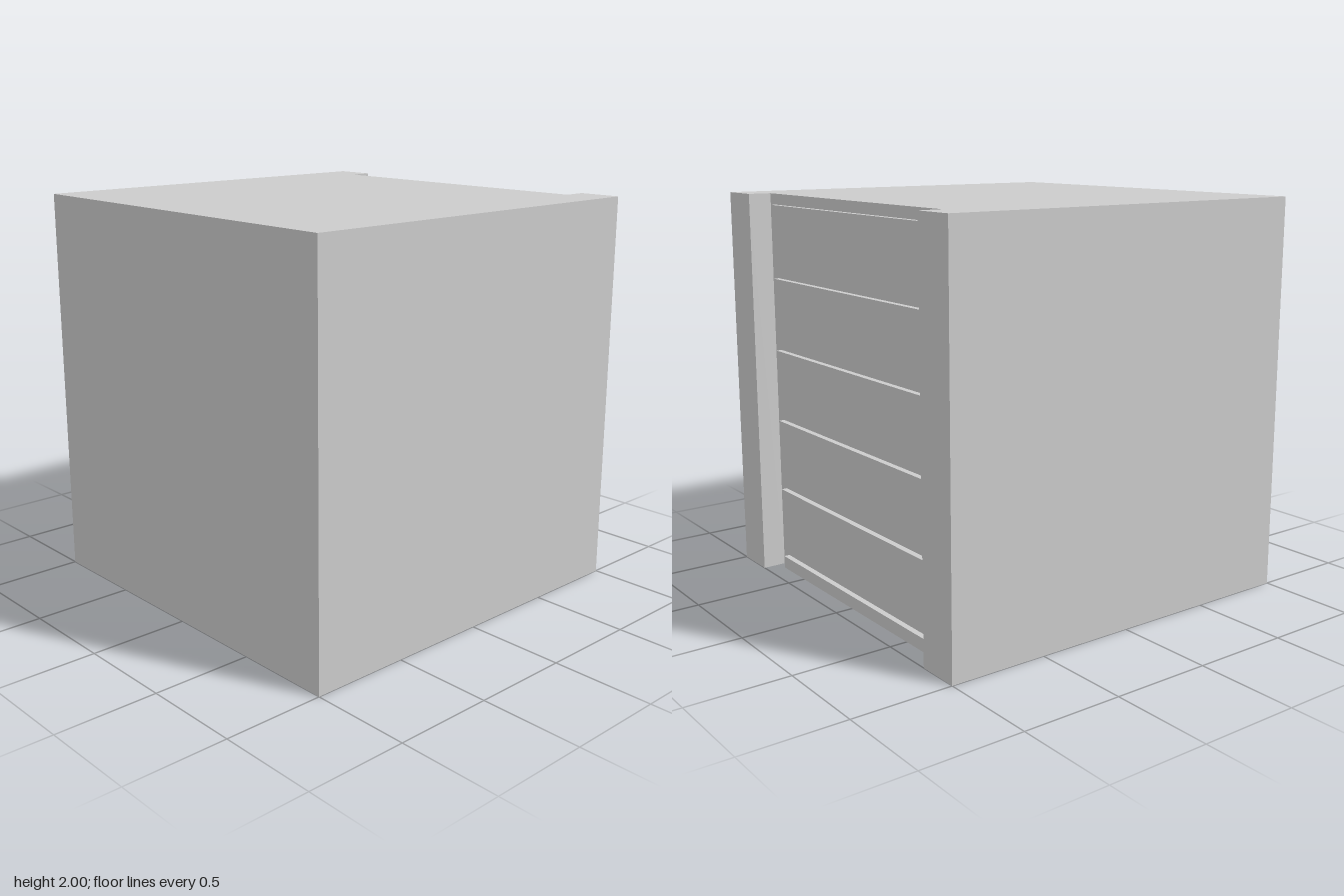
import * as THREE from 'three';

export function createModel() {
  const model = new THREE.Group();
  const material = new THREE.MeshStandardMaterial({ color: 0xcccccc, flatShading: true });

  // Block with a full-height recess in its back; plan drawn as (x, -z)
  const plan = new THREE.Shape([
    [-1, -1], [1, -1], [1, 1], [0.78, 1], [0.78, 0.88],
    [-0.78, 0.88], [-0.78, 1], [-1, 1],
  ].map(([x, y]) => new THREE.Vector2(x, y)));
  const bodyGeometry = new THREE.ExtrudeGeometry(plan, { depth: 2, bevelEnabled: false });
  bodyGeometry.rotateX(-Math.PI / 2);
  const body = new THREE.Mesh(bodyGeometry, material);
  body.name = 'body';
  model.add(body);

  // Horizontal slats in the recess; the lowest one is cut off at the floor
  const slats = new THREE.Group();
  slats.name = 'backSlats';
  for (let i = 0; i < 6; i++) {
    const top = 1.945 - i * 0.376;
    const bottom = Math.max(0, top - 0.1);
    const slat = new THREE.Mesh(new THREE.BoxGeometry(1.44, top - bottom, 0.03), material);
    slat.position.set(0, (top + bottom) / 2, -0.895);
    slat.name = 'slat';
    slats.add(slat);
  }
  model.add(slats);
  return model;
}
